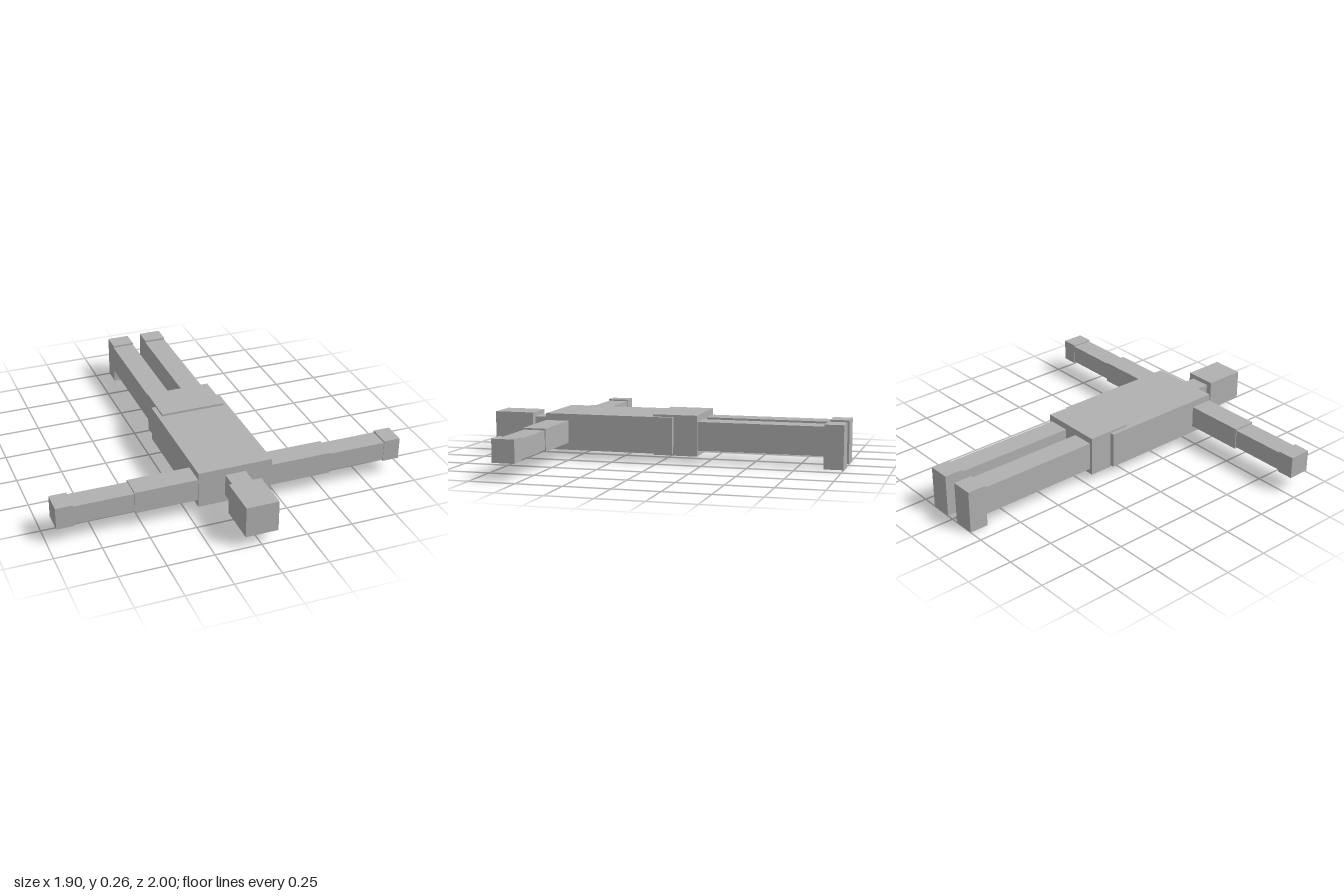
import * as THREE from 'three';

export function createModel() {
  const model = new THREE.Group();
  model.name = 'blockFigure';
  const grey = new THREE.MeshStandardMaterial({ color: 0xb0b0b0 });
  grey.name = 'plain grey';

  // Box given by its lower and upper limits on each axis
  function block(name, [x0, x1], [y0, y1], [z0, z1]) {
    const mesh = new THREE.Mesh(new THREE.BoxGeometry(x1 - x0, y1 - y0, z1 - z0), grey);
    mesh.position.set((x0 + x1) / 2, (y0 + y1) / 2, (z0 + z1) / 2);
    mesh.name = name;
    model.add(mesh);
  }

  // The same block on both sides of the body
  function pair(name, [x0, x1], y, z) {
    block('left' + name, [x0, x1], y, z);
    block('right' + name, [-x1, -x0], y, z);
  }

  // Head and trunk, lying along z
  block('head', [-0.088, 0.088], [0.065, 0.235], [0.773, 1]);
  block('neck', [-0.056, 0.056], [0.09, 0.21], [0.64, 0.78]);
  block('torso', [-0.203, 0.203], [0.05, 0.25], [-0.078, 0.648]);
  block('hips', [-0.179, 0.179], [0.04, 0.262], [-0.21, 0.035]);

  // Arms stretched out to the sides
  pair('UpperArm', [0.19, 0.542], [0.09, 0.212], [0.517, 0.645]);
  pair('Forearm', [0.53, 0.865], [0.1, 0.203], [0.522, 0.64]);
  pair('Hand', [0.86, 0.952], [0.09, 0.212], [0.52, 0.643]);

  // Legs stretched backwards, with feet reaching the ground
  pair('Leg', [0.04, 0.163], [0.07, 0.227], [-0.9, -0.2]);
  pair('Foot', [0.04, 0.163], [0, 0.238], [-1, -0.895]);

  return model;
}
